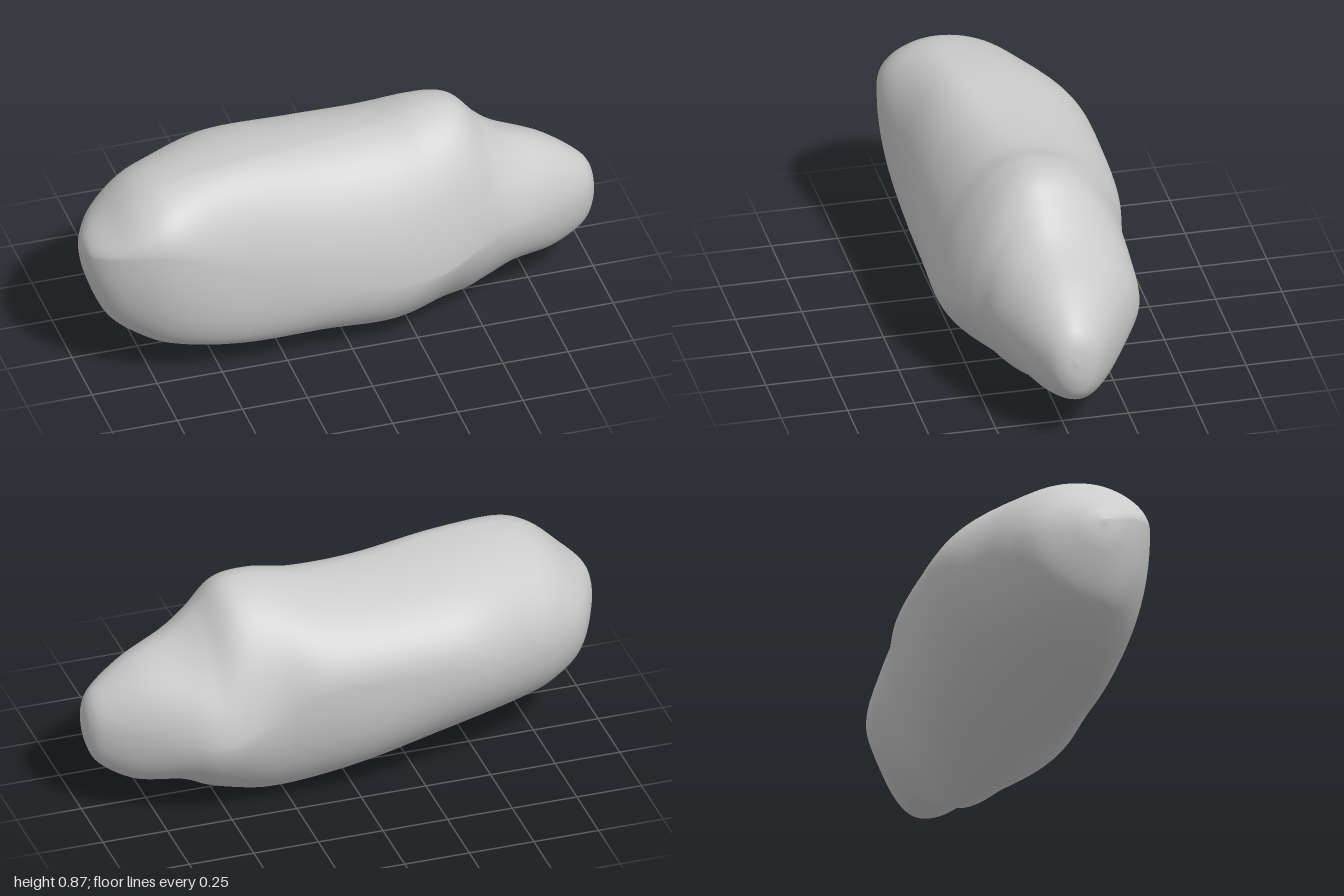
import * as THREE from 'three';

// Cross-sections along x:
// [x, topY, topZ, frontZ, frontY, bottomY, bottomZ, backZ, backY]
const SECTIONS = [
  [-1.00, 0.55, 0.11, 0.11, 0.55, 0.55, 0.11, 0.11, 0.55],
  [-0.98, 0.61, 0.11, 0.20, 0.57, 0.43, 0.11, 0.01, 0.52],
  [-0.91, 0.68, 0.11, 0.28, 0.60, 0.27, 0.12, -0.12, 0.50],
  [-0.80, 0.78, 0.12, 0.34, 0.62, 0.18, 0.14, -0.20, 0.50],
  [-0.67, 0.825, 0.14, 0.36, 0.60, 0.13, 0.17, -0.26, 0.51],
  [-0.42, 0.84, 0.12, 0.34, 0.46, 0.095, 0.18, -0.355, 0.53],
  [-0.10, 0.825, 0.06, 0.345, 0.36, 0.06, 0.09, -0.365, 0.54],
  [0.15, 0.835, 0.03, 0.352, 0.32, 0.015, 0.03, -0.355, 0.53],
  [0.32, 0.87, 0.02, 0.34, 0.33, 0.00, 0.00, -0.33, 0.45],
  [0.46, 0.86, 0.02, 0.295, 0.37, 0.02, 0.00, -0.34, 0.38],
  [0.56, 0.76, 0.02, 0.255, 0.40, 0.065, -0.02, -0.335, 0.36],
  [0.66, 0.68, 0.01, 0.23, 0.40, 0.12, -0.04, -0.295, 0.37],
  [0.82, 0.605, 0.00, 0.165, 0.40, 0.135, -0.04, -0.20, 0.38],
  [0.94, 0.52, 0.00, 0.10, 0.39, 0.20, -0.02, -0.115, 0.38],
  [0.985, 0.46, 0.00, 0.055, 0.38, 0.28, -0.01, -0.06, 0.38],
  [1.00, 0.38, 0.00, 0.00, 0.38, 0.38, 0.00, 0.00, 0.38],
];
const RINGS = 120, SIDES = 80;

// Smooth rail through one extreme point of every section
function rail(yCol, zCol) {
  const points = SECTIONS.map((s) => new THREE.Vector3(s[0], s[yCol], s[zCol]));
  return new THREE.CatmullRomCurve3(points, false, 'catmullrom', 0.5);
}

const bump = (x, centre, width) => Math.exp(-(((x - centre) / width) ** 2));

// Roundness of each quarter (2 is an ellipse, less is hollower); t runs across the quarter
const FULLNESS = [
  // top to front
  (x) => 1.95 - 0.1 * bump(x, 0.58, 0.15),
  // front to bottom: full belly, then a deep hollow beside the nose
  (x) => 2 + 0.55 * bump(x, -0.35, 0.3) - 0.6 * bump(x, 0.39, 0.2),
  // bottom to back: flat underside, then a groove below the nose
  (x) => 2 + 0.4 * bump(x, -0.05, 0.25) - 0.35 * bump(x, 0.5, 0.16),
  // back to top: slight saddle, then an oblique shoulder, further out along the crest
  (x, t) => 2 + 0.12 * bump(x, -0.45, 0.25) - 0.12 * bump(x, 0.12, 0.16)
    - 0.3 * bump(x, 0.44 + 0.2 * t, 0.15),
];

function createRockGeometry() {
  const rails = [rail(1, 2), rail(4, 3), rail(5, 6), rail(8, 7)]; // top, front, bottom, back
  const positions = [], indices = [];

  for (let i = 0; i <= RINGS; i++) {
    const p = rails.map((r) => r.getPoint(i / RINGS));
    for (let j = 0; j < SIDES; j++) {
      const turn = (j / SIDES) * 4;
      const q = Math.floor(turn);
      const t = turn - q;
      const from = p[q], to = p[(q + 1) % 4];
      const power = 2 / FULLNESS[q](from.x, t);
      const c = Math.max(0, Math.cos(t * Math.PI / 2)) ** power;
      const s = Math.max(0, Math.sin(t * Math.PI / 2)) ** power;
      // Quarter curve: leaves top/bottom sideways, leaves front/back upright
      const sideways = q % 2 === 0;
      const y = sideways ? to.y + (from.y - to.y) * c : from.y + (to.y - from.y) * s;
      const z = sideways ? from.z + (to.z - from.z) * s : to.z + (from.z - to.z) * c;
      positions.push(from.x, y, z);
    }
  }

  for (let i = 0; i < RINGS; i++) {
    for (let j = 0; j < SIDES; j++) {
      const k = (j + 1) % SIDES;
      const a = i * SIDES + j, b = i * SIDES + k;
      const c = a + SIDES, d = b + SIDES;
      if (i > 0) indices.push(a, b, c);
      if (i < RINGS - 1) indices.push(b, d, c);
    }
  }

  const geometry = new THREE.BufferGeometry();
  geometry.setAttribute('position', new THREE.Float32BufferAttribute(positions, 3));
  geometry.setIndex(indices);
  geometry.computeVertexNormals();

  // Each tip is a fan of coincident vertices, so give it one shared normal
  const normal = geometry.attributes.normal;
  for (let j = 0; j < SIDES; j++) {
    normal.setXYZ(j, -1, 0, 0);
    normal.setXYZ(RINGS * SIDES + j, 1, 0, 0);
  }
  return geometry;
}

export function createModel() {
  const model = new THREE.Group();
  model.name = 'asteroid';
  const rock = new THREE.Mesh(
    createRockGeometry(),
    new THREE.MeshStandardMaterial({ color: 0xcccccc }),
  );
  rock.name = 'rockBody';
  model.add(rock);
  return model;
}
